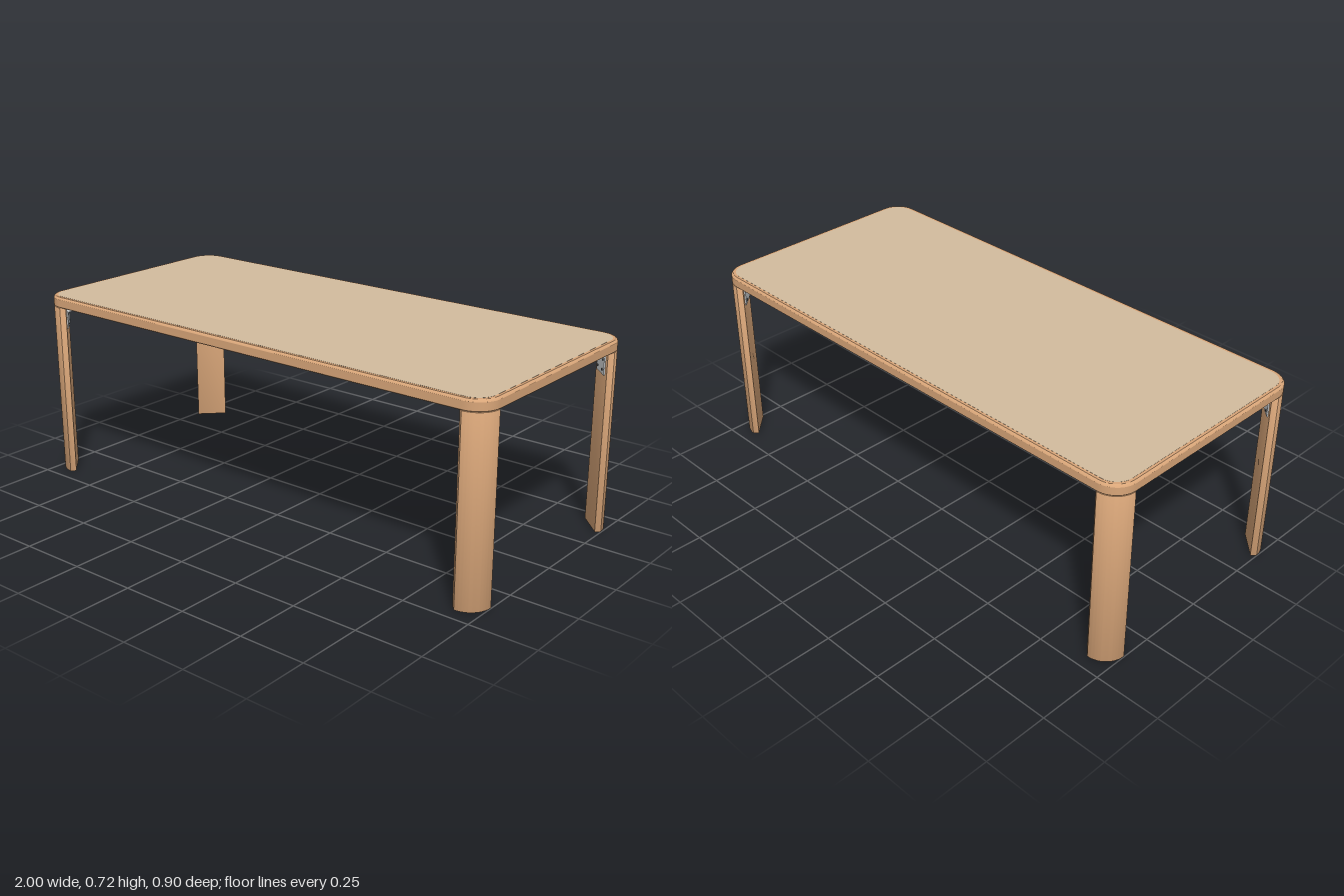
import * as THREE from 'three';
import { toCreasedNormals } from 'three/addons/utils/BufferGeometryUtils.js';

const HX = 1, HZ = 0.4525, R = 0.085; // table half sizes and corner radius
const UNDER = 0.675, SLAB = 0.706, TOP = 0.715;

const mat = (name, color, side = THREE.FrontSide) => {
  const m = new THREE.MeshStandardMaterial({ color, side });
  m.name = name;
  return m;
};

function add(parent, name, geometry, material, x = 0, y = 0, z = 0) {
  const mesh = new THREE.Mesh(geometry, material);
  mesh.name = name;
  mesh.position.set(x, y, z);
  parent.add(mesh);
  return mesh;
}

// Points of the rounded table outline, moved inwards by inset
function outline(inset, steps = 12) {
  const pts = [];
  [[1, 1], [-1, 1], [-1, -1], [1, -1]].forEach(([sx, sy], corner) => {
    for (let i = 0; i <= steps; i++) {
      const a = (corner + i / steps) * Math.PI / 2;
      pts.push(new THREE.Vector2(
        sx * (HX - R) + (R - inset) * Math.cos(a),
        sy * (HZ - R) + (R - inset) * Math.sin(a)));
    }
  });
  return pts;
}

// Extrude a plan shape upwards
function extrudeUp(shape, depth, options = { bevelEnabled: false }) {
  return new THREE.ExtrudeGeometry(shape, { depth, ...options }).rotateX(-Math.PI / 2);
}

// Sweep an (inset, height) profile around the table outline
function rimGeometry(profile) {
  const pos = [], index = [];
  const loops = profile.map(([inset]) => outline(inset));
  const n = loops[0].length;
  profile.forEach(([, y], k) => loops[k].forEach(p => pos.push(p.x, y, -p.y)));
  for (let k = 0; k < profile.length - 1; k++) {
    for (let i = 0; i < n; i++) {
      const j = (i + 1) % n, a = k * n + i, b = k * n + j;
      index.push(a, b, b + n, a, b + n, a + n);
    }
  }
  const g = new THREE.BufferGeometry();
  g.setAttribute('position', new THREE.Float32BufferAttribute(pos, 3));
  g.setIndex(index);
  return toCreasedNormals(g, 0.5);
}

function rectPath(x0, x1, z) {
  return new THREE.Path([[x0, -z], [x0, z], [x1, z], [x1, -z]].map(p => new THREE.Vector2(...p)));
}

// Leg plan: quarter-round outside, flat diagonal inside, corner at the origin
function legGeometry() {
  const c = 0.016, bevel = 0.004;
  const s = new THREE.Shape();
  s.absarc(-R, R, R, -Math.PI / 2, 0, false);
  s.lineTo(-c, R + c);
  s.lineTo(-R - c, c);
  s.closePath();
  const g = extrudeUp(s, UNDER - 2 * bevel, {
    curveSegments: 16, bevelSize: bevel, bevelThickness: bevel, bevelOffset: -bevel, bevelSegments: 2,
  });
  return toCreasedNormals(g.translate(0, bevel, 0), 0.5);
}

// Metal angle bracket; local +x points to the table centre
function makeBracket(metal, boltMat) {
  const b = new THREE.Group();
  b.name = 'cornerBracket';
  add(b, 'bracketLegPlate', new THREE.BoxGeometry(0.005, 0.085, 0.08), metal, 0.0025, 0.63, 0);
  add(b, 'bracketArm', new THREE.BoxGeometry(0.106, 0.005, 0.08), metal, 0.053, 0.6722, 0);
  const web = new THREE.Shape([[0, 0], [0, -0.02], [0.07, 0]].map(p => new THREE.Vector2(...p)));
  const webGeo = new THREE.ExtrudeGeometry(web, { depth: 0.004, bevelEnabled: false });
  const boltGeo = new THREE.CylinderGeometry(0.004, 0.004, 0.004, 10).rotateZ(Math.PI / 2);
  for (const s of [-1, 1]) {
    add(b, 'bracketWeb', webGeo, metal, 0.005, 0.67, s * 0.036 - 0.002);
    for (const y of [0.605, 0.64]) add(b, 'bolt', boltGeo, boltMat, 0.006, y, s * 0.025);
  }
  return b;
}

export function createModel() {
  const wood = mat('wood', 0xd9a679);
  const tan = mat('tableSurface', 0xd3bc9e);
  const green = mat('greenFrame', 0x98d09c);
  const purple = mat('purpleBlock', 0xce9ad0);
  const metal = mat('metal', 0xd8dcde);
  const dark = mat('boltMetal', 0x6a6d70);
  const model = new THREE.Group();
  model.name = 'table';

  // Tabletop: wooden rim around a thin surface panel
  add(model, 'rim', rimGeometry([
    [0.016, UNDER], [0.003, UNDER], [0, UNDER + 0.003], [0, TOP - 0.008],
    [0.003, TOP - 0.003], [0.008, TOP], [0.019, TOP],
  ]), wood);
  add(model, 'surfacePanel', extrudeUp(new THREE.Shape(outline(0.018)), TOP - SLAB + 0.0005), tan, 0, SLAB, 0);

  // Supporting frame underneath with five openings
  const frame = new THREE.Shape(outline(0.014));
  const openings = [[-0.88, -0.55], [-0.505, -0.15], [-0.105, 0.105], [0.15, 0.505], [0.55, 0.88]];
  for (const [x0, x1] of openings) frame.holes.push(rectPath(x0, x1, 0.335));
  const depth = SLAB - UNDER;
  add(model, 'underFrame', extrudeUp(frame, depth), green, 0, UNDER, 0);
  add(model, 'centreBlock', new THREE.BoxGeometry(0.21, depth, 0.27), wood, 0, UNDER + depth / 2, 0);

  // Legs with brackets and mounting blocks at the four corners
  const legGeo = legGeometry();
  const blockGeo = new THREE.BoxGeometry(0.11, depth, 0.125);
  const corners = [[1, 1, 0], [1, -1, 1], [-1, -1, 2], [-1, 1, 3]];
  for (const [sx, sz, turn] of corners) {
    const name = (sz > 0 ? 'front' : 'back') + (sx > 0 ? 'Left' : 'Right');
    const corner = new THREE.Group();
    corner.name = name + 'Corner';
    corner.position.set(sx * HX, 0, sz * HZ);
    corner.rotation.y = turn * Math.PI / 2;
    add(corner, name + 'Leg', legGeo, wood);
    const bracket = makeBracket(metal, dark);
    bracket.position.set(-0.0585, 0, -0.0585);
    bracket.rotation.y = 3 * Math.PI / 4;
    corner.add(bracket);
    model.add(corner);
    add(model, name + 'Block', blockGeo, purple, sx * 0.825, UNDER + depth / 2, sz * 0.2725);
  }
  return model;
}
